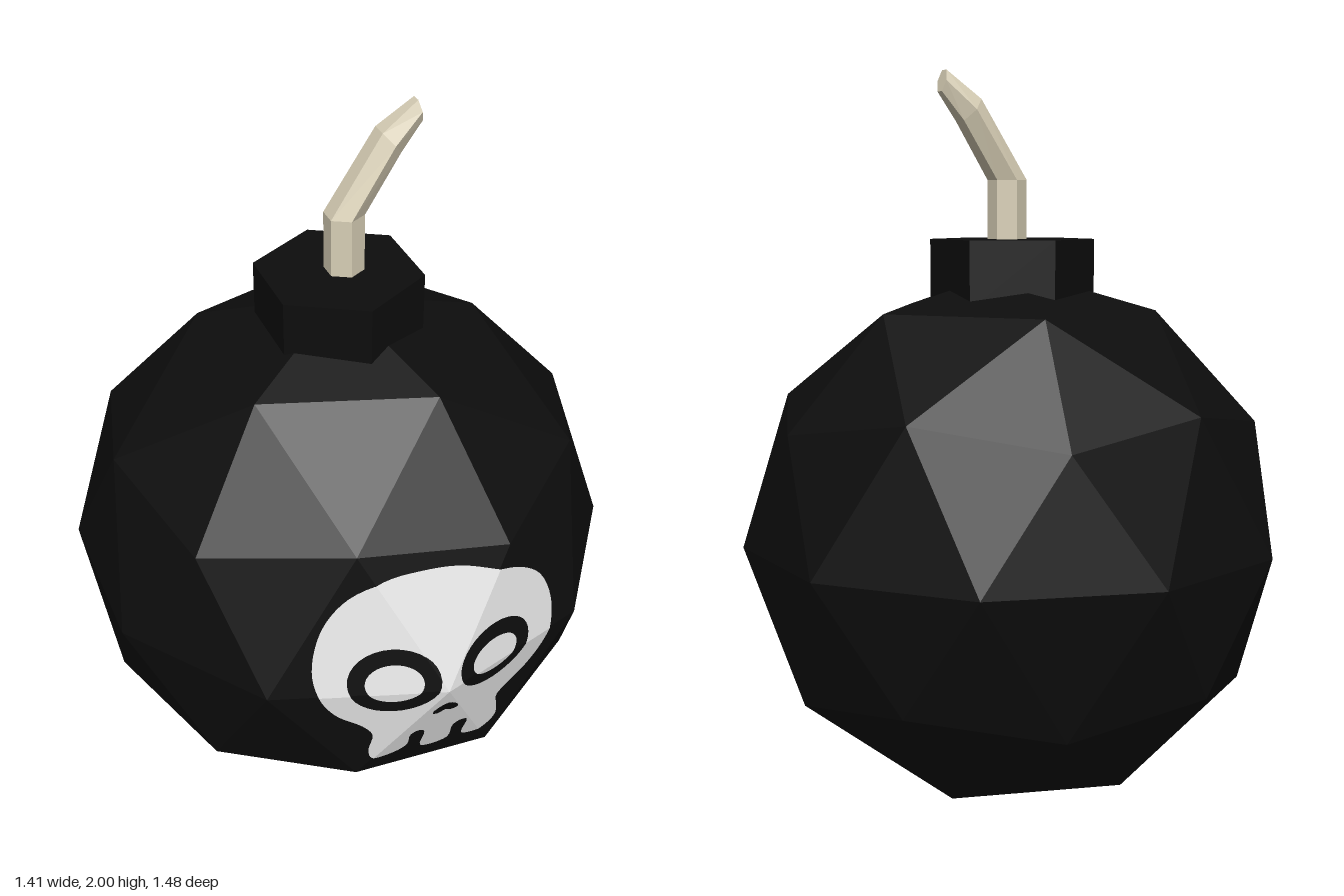
import * as THREE from 'three';

const R = 0.74;
const mat = (name, color) => Object.assign(new THREE.MeshStandardMaterial({ color, flatShading: true }), { name });

// Front corner of the ball: the six neighbours of its foremost vertex, as offsets
// from that vertex, counter-clockwise seen from the front
const FAN = [[0.435, 0, 0.599], [0.2045, 0.331, 0.6295], [-0.1945, 0.389, 0.5987],
  [-0.435, 0, 0.599], [-0.2045, -0.331, 0.6295], [0.1945, -0.389, 0.5987]]
  .map(([x, y, z]) => [x, y, z - R]);
const cross = (a, b) => a[0] * b[1] - a[1] * b[0];

// Keep the part of a polygon where side(p) >= 0
function clip(poly, side) {
  const out = [];
  poly.forEach((p, i) => {
    const q = poly[(i + 1) % poly.length], sp = side(p), sq = side(q);
    if (sp >= 0) out.push(p);
    if ((sp > 0 && sq < 0) || (sp < 0 && sq > 0)) {
      const t = sp / (sp - sq);
      out.push([p[0] + (q[0] - p[0]) * t, p[1] + (q[1] - p[1]) * t]);
    }
  });
  return out;
}

// Lay flat shapes onto the facets around the front vertex
function drape(shapes, lift) {
  const flat = new THREE.ShapeGeometry(shapes).toNonIndexed().attributes.position;
  const pos = [];
  for (let i = 0; i < flat.count; i += 3) {
    const tri = [0, 1, 2].map((k) => [flat.getX(i + k), flat.getY(i + k) - R]);
    FAN.forEach((a, f) => {
      const b = FAN[(f + 1) % 6], det = cross(a, b);
      const poly = clip(clip(tri, (p) => cross(a, p)), (p) => cross(p, b));
      const pts = poly.map((p) => [p[0], p[1] + R,
        R + lift + (cross(p, b) * a[2] + cross(a, p) * b[2]) / det]);
      for (let k = 1; k + 1 < pts.length; k++) pos.push(...pts[0], ...pts[k], ...pts[k + 1]);
    });
  }
  const g = new THREE.BufferGeometry();
  g.setAttribute('position', new THREE.Float32BufferAttribute(pos, 3));
  g.computeVertexNormals();
  return g;
}

const ellipse = (x, y, rx, ry, tilt = 0) =>
  new THREE.EllipseCurve(x, y, rx, ry, 0, Math.PI * 2, false, tilt).getPoints(32).slice(0, -1);
const smooth = (pts, n) => {
  const v = pts.map(([x, y]) => new THREE.Vector3(x, y, 0));
  return new THREE.CatmullRomCurve3(v, true, 'centripetal').getPoints(n).slice(0, -1)
    .map((p) => new THREE.Vector2(p.x, p.y));
};

function skullGeometry() {
  const outline = smooth([
    [-0.04, 1.063], [0.063, 1.053], [0.159, 1.021], [0.238, 0.989], [0.302, 0.937], [0.339, 0.862],
    [0.349, 0.778], [0.328, 0.693], [0.28, 0.63], [0.222, 0.593], [0.192, 0.566], [0.201, 0.513],
    [0.206, 0.46], [0.18, 0.439], [0.116, 0.439], [0.095, 0.455], [0.095, 0.534], [0.074, 0.541],
    [0.056, 0.524], [0.053, 0.455], [0.011, 0.444], [-0.028, 0.46], [-0.032, 0.545], [-0.053, 0.561],
    [-0.072, 0.55], [-0.074, 0.492], [-0.106, 0.471], [-0.169, 0.474], [-0.181, 0.508], [-0.175, 0.577],
    [-0.201, 0.614], [-0.265, 0.661], [-0.307, 0.725], [-0.324, 0.799], [-0.312, 0.884], [-0.28, 0.958],
    [-0.222, 1.021], [-0.138, 1.058]], 152);
  const nose = smooth([[0.01, 0.676], [0.042, 0.652], [0.044, 0.636], [0.025, 0.632],
    [0.009, 0.643], [-0.01, 0.632], [-0.026, 0.638], [-0.024, 0.654]], 24);
  const head = new THREE.Shape(outline);
  // Eye sockets and nose are open, showing the ball behind
  head.holes = [ellipse(-0.13, 0.773, 0.114, 0.1), ellipse(0.153, 0.773, 0.114, 0.094), nose]
    .map((pts) => new THREE.Path(pts));
  const pupils = [ellipse(-0.13, 0.769, 0.072, 0.058), ellipse(0.153, 0.769, 0.073, 0.051)]
    .map((pts) => new THREE.Shape(pts));
  return drape([head, ...pupils], 0.004);
}

// Six-sided tapering fuse; each ring: centre x, y, z, in-plane half axis x, y, z radius
function fuseGeometry() {
  const rings = [
    [0.015, 1.5, 0.001, 0.053, 0, 0.052],
    [0.015, 1.717, 0.001, 0.053, 0, 0.052],
    [0.131, 1.898, 0.003, 0.03, -0.033, 0.046],
    [0.203, 1.972, 0.016, 0.008, -0.032, 0.025]];
  const pos = [], idx = [];
  rings.forEach(([x, y, z, ux, uy, rz]) => {
    for (let k = 0; k < 6; k++) {
      const s = Math.sin(k * Math.PI / 3), c = Math.cos(k * Math.PI / 3);
      pos.push(x + ux * s, y + uy * s, z + rz * c);
    }
  });
  for (let r = 0; r < 3; r++) {
    for (let k = 0; k < 6; k++) {
      const a = r * 6 + k, b = r * 6 + (k + 1) % 6;
      idx.push(a, b, b + 6, a, b + 6, a + 6);
    }
  }
  for (let k = 1; k < 5; k++) idx.push(18, 18 + k, 19 + k);
  const g = new THREE.BufferGeometry();
  g.setAttribute('position', new THREE.Float32BufferAttribute(pos, 3));
  g.setIndex(idx);
  const flat = g.toNonIndexed();
  flat.computeVertexNormals();
  return flat;
}

export function createModel() {
  const group = new THREE.Group();
  group.name = 'bomb';
  const black = mat('black iron', 0x0d0d0d);
  const white = mat('bone white', 0xe6e6e6);
  const rope = mat('fuse rope', 0xd8cfb6);
  const add = (name, geometry, material) => {
    const mesh = new THREE.Mesh(geometry, material);
    mesh.name = name;
    group.add(mesh);
    return mesh;
  };

  // Faceted ball standing on one of its corners
  const ball = new THREE.IcosahedronGeometry(R, 1);
  ball.rotateZ(-Math.atan2(1, (1 + Math.sqrt(5)) / 2));
  ball.translate(0, R, 0);
  ball.computeVertexNormals();
  add('ball', ball, black);

  // Hexagonal collar
  add('collar', new THREE.CylinderGeometry(0.222, 0.222, 0.18, 6), black).position.y = 1.47;

  add('fuse', fuseGeometry(), rope);
  add('skull', skullGeometry(), white);
  return group;
}
